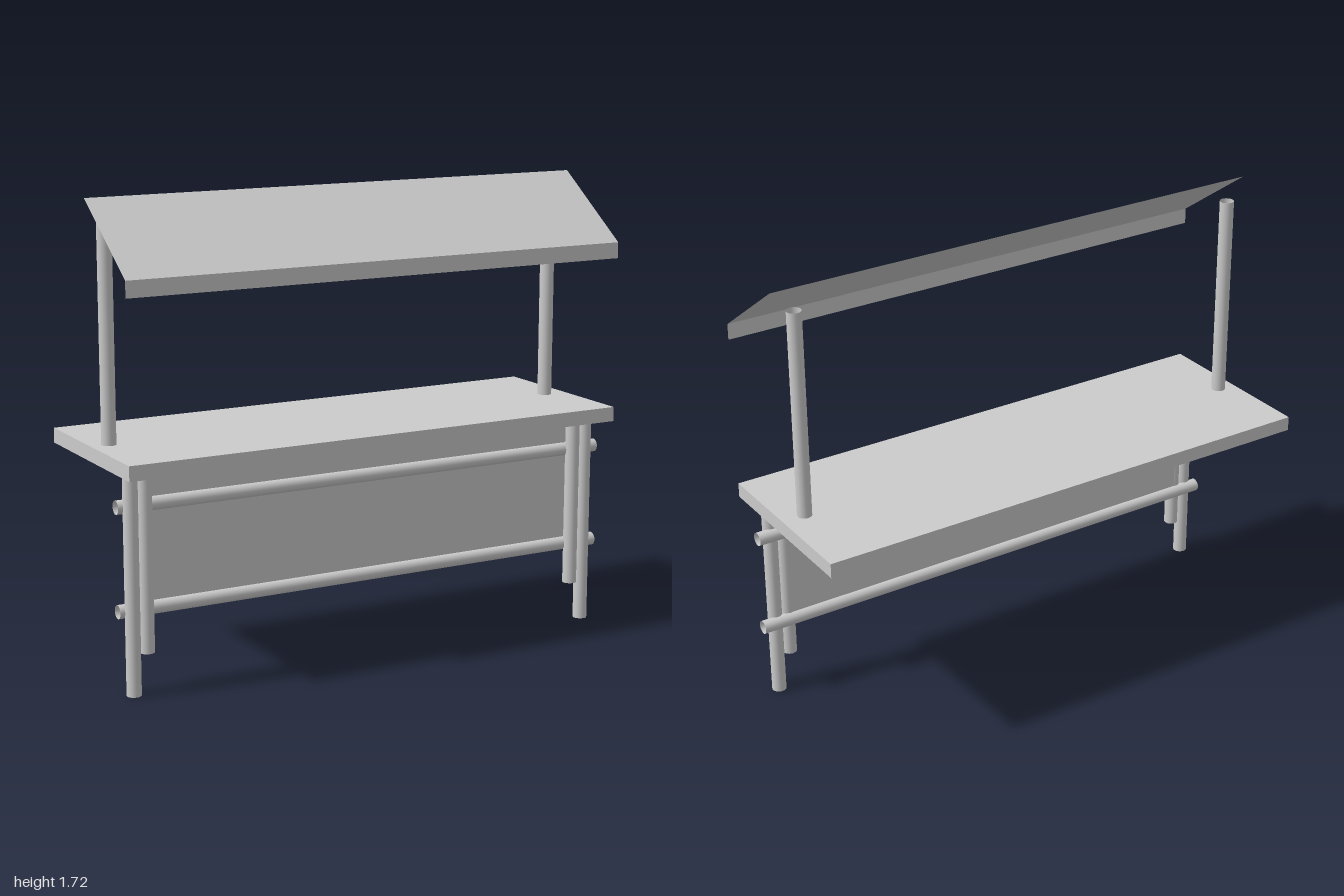
import * as THREE from 'three';

const material = new THREE.MeshStandardMaterial({ color: 0xcccccc, side: THREE.DoubleSide });

function add(group, name, geometry, x, y, z) {
  const mesh = new THREE.Mesh(geometry, material);
  mesh.name = name;
  mesh.position.set(x, y, z);
  group.add(mesh);
  return mesh;
}

// Open-ended upright pole from y0 to y1
function pole(group, name, x, z, y0, y1) {
  const geometry = new THREE.CylinderGeometry(0.027, 0.027, y1 - y0, 24, 1, true);
  return add(group, name, geometry, x, (y0 + y1) / 2, z);
}

export function createModel() {
  const group = new THREE.Group();
  group.name = 'marketStall';

  const topBottom = 0.795, topSurface = 0.85;
  const legZ = 0.241, railZ = 0.216;

  // Counter board
  add(group, 'counter', new THREE.BoxGeometry(2, topSurface - topBottom, 0.686),
    0, (topBottom + topSurface) / 2, 0);

  // Paired legs and roof posts, set slightly off centre
  for (const side of [-1, 1]) {
    const label = side > 0 ? 'left' : 'right';
    pole(group, label + 'OuterLeg', side * 0.946 - 0.009, legZ, 0, topBottom);
    pole(group, label + 'InnerLeg', side * 0.893 - 0.009, legZ, 0.15, topBottom);
    pole(group, label + 'RoofPost', side * 0.921 - 0.01, 0.006, topSurface, 1.635);
  }

  // Horizontal rails, hollow at the ends
  for (const [name, y] of [['lowerRail', 0.303], ['upperRail', 0.677]]) {
    const rail = new THREE.CylinderGeometry(0.025, 0.025, 2, 24, 1, true).rotateZ(Math.PI / 2);
    add(group, name, rail, 0, y, railZ);
  }

  // Thin front panel hung behind the legs
  add(group, 'frontPanel', new THREE.PlaneGeometry(1.78, topBottom - 0.303),
    -0.009, (topBottom + 0.303) / 2, railZ);

  // Sloping awning sheet with a hanging valance
  const run = 0.343, rise = 0.24, eave = 1.48;
  const awning = add(group, 'awning', new THREE.PlaneGeometry(2, Math.hypot(run, rise)),
    0, eave + rise / 2, run / 2);
  awning.rotation.x = -Math.atan2(run, rise);
  add(group, 'valance', new THREE.PlaneGeometry(2, 0.06), 0, eave - 0.03, run);

  return group;
}
